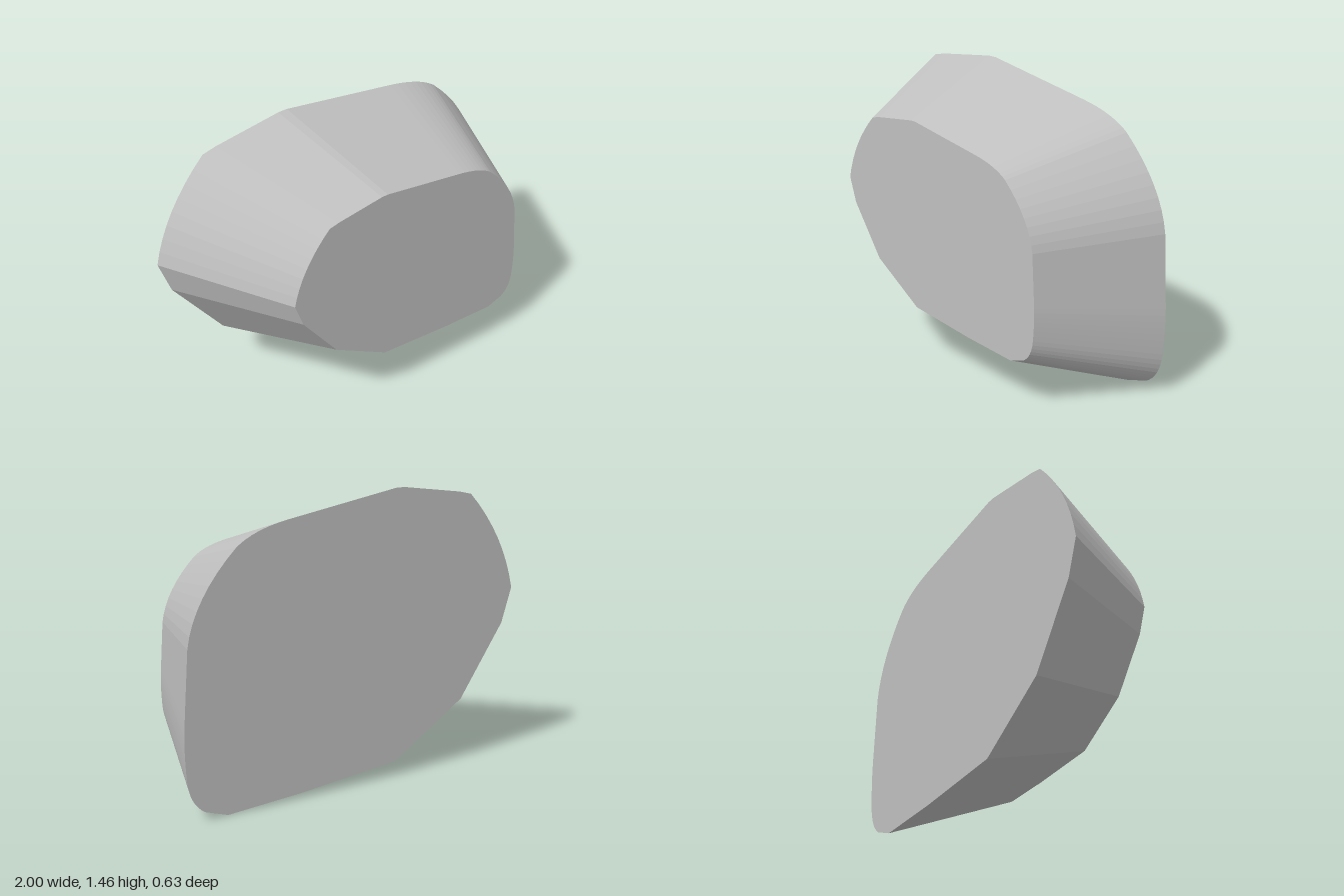
import * as THREE from 'three';

const HALF_DEPTH = 0.315;
const FRONT_SCALE = 0.7;

// Outline of the large back face, anticlockwise from the left tip
function stoneOutline() {
  const s = new THREE.Shape();
  s.moveTo(-1, 0.888);
  s.lineTo(-0.936, 0.706);
  s.lineTo(-0.663, 0.337);
  s.lineTo(-0.23, 0.08);
  s.lineTo(0.348, 0.027);
  s.lineTo(0.77, 0.003);
  s.lineTo(0.893, 0.043);
  s.quadraticCurveTo(0.977, 0.09, 0.989, 0.214);
  s.quadraticCurveTo(1.003, 0.36, 0.995, 0.48);
  s.lineTo(0.973, 0.824);
  s.quadraticCurveTo(0.94, 1.05, 0.706, 1.262);
  s.quadraticCurveTo(0.61, 1.335, 0.417, 1.366);
  s.lineTo(-0.22, 1.466);
  s.lineTo(-0.27, 1.466);
  s.lineTo(-0.631, 1.417);
  s.lineTo(-0.705, 1.4);
  s.quadraticCurveTo(-0.94, 1.17, -1, 0.888);
  return s;
}

export function createModel() {
  const group = new THREE.Group();
  group.name = 'stone';
  const stoneGrey = new THREE.MeshStandardMaterial({ color: 0xc0c0c0, flatShading: true });
  stoneGrey.name = 'stoneGrey';

  const geometry = new THREE.ExtrudeGeometry(stoneOutline(), {
    depth: HALF_DEPTH * 2, bevelEnabled: false, curveSegments: 8,
  });
  geometry.translate(0, 0, -HALF_DEPTH);

  // Taper the front face towards a point slightly right of centre
  const p = geometry.attributes.position;
  for (let i = 0; i < p.count; i++) {
    if (p.getZ(i) > 0) {
      p.setXY(i, p.getX(i) * FRONT_SCALE + 0.055, p.getY(i) * FRONT_SCALE + 0.235);
    }
  }
  geometry.computeVertexNormals();

  const body = new THREE.Mesh(geometry, stoneGrey);
  body.name = 'taperedStoneBody';
  group.add(body);
  return group;
}
